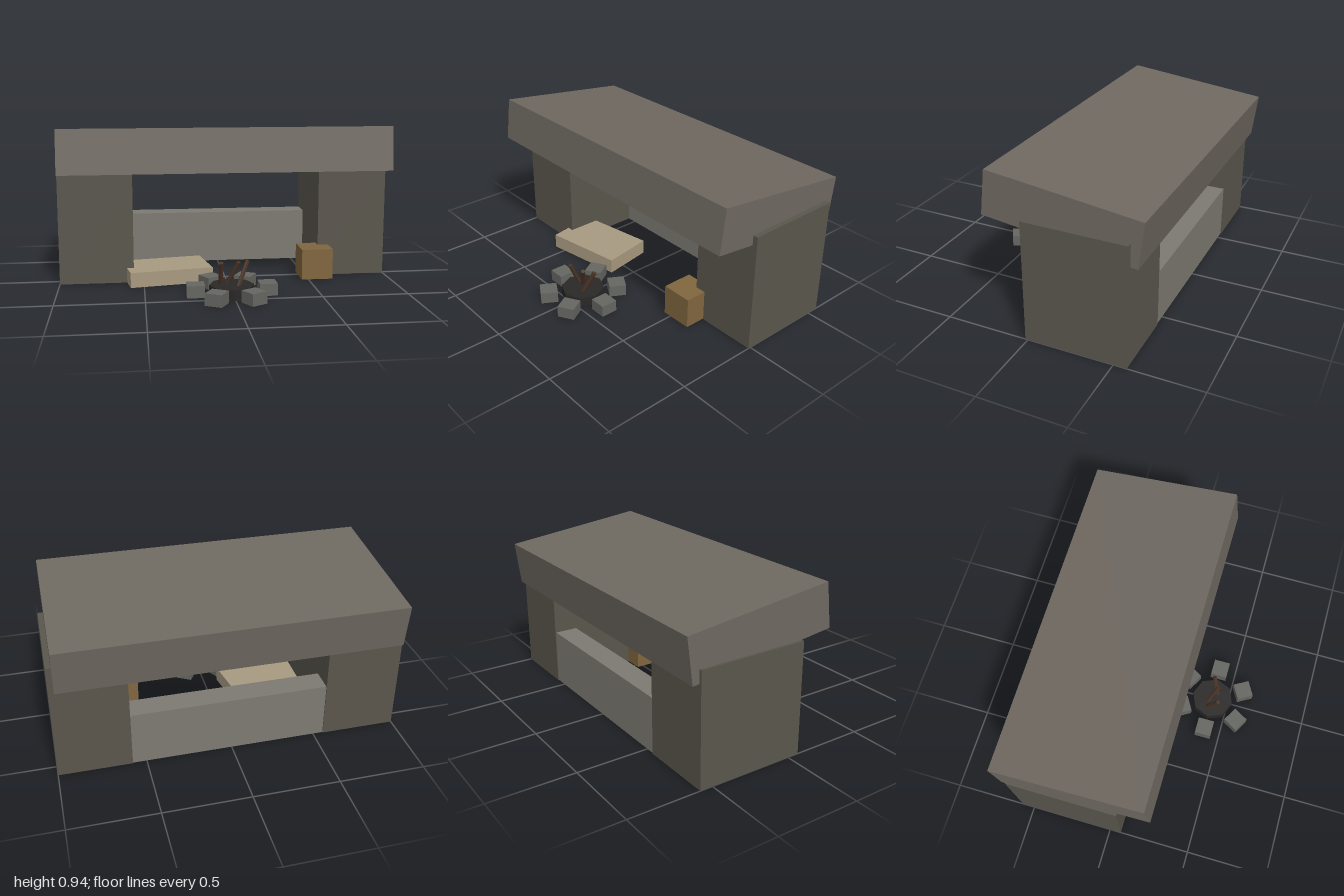
import * as THREE from 'three';

const mat = (color) => new THREE.MeshStandardMaterial({ color, flatShading: true });

export function createModel() {
  const model = new THREE.Group();
  const rock = mat(0x5a564d), slab = mat(0x6e6860), wallStone = mat(0x7d7a72);
  const hide = mat(0xa89a80), wood = mat(0x80663f), stone = mat(0x656561);
  const ash = mat(0x2a2827), bark = mat(0x4a3426);

  const add = (name, geometry, material, x, y, z, parent = model) => {
    const mesh = new THREE.Mesh(geometry, material);
    mesh.name = name;
    mesh.position.set(x, y, z);
    parent.add(mesh);
    return mesh;
  };
  // Box given by its extents on each axis
  const block = (name, material, [x0, x1], [y0, y1], [z0, z1]) =>
    add(name, new THREE.BoxGeometry(x1 - x0, y1 - y0, z1 - z0), material,
      (x0 + x1) / 2, (y0 + y1) / 2, (z0 + z1) / 2);

  // Shelter walls
  block('rightPillar', rock, [-1, -0.56], [0, 0.655], [-0.575, 0.07]);
  block('leftPillar', rock, [0.58, 1], [0, 0.71], [-0.575, 0.015]);
  block('backWall', wallStone, [-0.57, 0.59], [0, 0.33], [-0.57, -0.43]);

  // Overhanging roof slab, raised at the front
  const roof = add('roofSlab', new THREE.BoxGeometry(1.955, 0.262, 0.881), slab, -0.008, 0.758, -0.193);
  roof.rotation.x = -0.12;

  // Bedding, turned slightly and tucked against the pillar
  const bed = add('bedding', new THREE.BoxGeometry(0.5, 0.09, 0.32), hide, -0.36, 0.045, -0.005);
  bed.rotation.y = 0.17;

  block('crate', wood, [0.455, 0.645], [0.005, 0.19], [-0.045, 0.145]);

  // Fire pit with a ring of stones
  const fire = new THREE.Group();
  fire.name = 'firePit';
  fire.position.set(-0.008, 0, 0.397);
  model.add(fire);
  add('ashBed', new THREE.CylinderGeometry(0.13, 0.13, 0.06, 8), ash, 0, 0.03, 0, fire);
  for (let i = 0; i < 6; i++) {
    const a = (i * Math.PI) / 3;
    const s = add('ringStone', new THREE.BoxGeometry(0.102, 0.07, 0.102), stone,
      Math.cos(a) * 0.207, 0.035, Math.sin(a) * 0.207, fire);
    s.rotation.y = -a;
  }

  // Leaning sticks: base point to tip
  const up = new THREE.Vector3(0, 1, 0);
  [
    [[-0.063, 0.03, -0.03], [-0.063, 0.198, 0.043]],
    [[-0.035, 0.03, -0.03], [0.037, 0.195, 0.022]],
    [[0.025, 0.03, 0.035], [0.095, 0.195, -0.02]],
  ].forEach(([a, b]) => {
    const base = new THREE.Vector3(...a), dir = new THREE.Vector3(...b).sub(base);
    const mid = base.clone().addScaledVector(dir, 0.5);
    const stick = add('fireStick', new THREE.CylinderGeometry(0.013, 0.013, dir.length(), 6), bark,
      mid.x, mid.y, mid.z, fire);
    stick.quaternion.setFromUnitVectors(up, dir.normalize());
  });

  return model;
}
